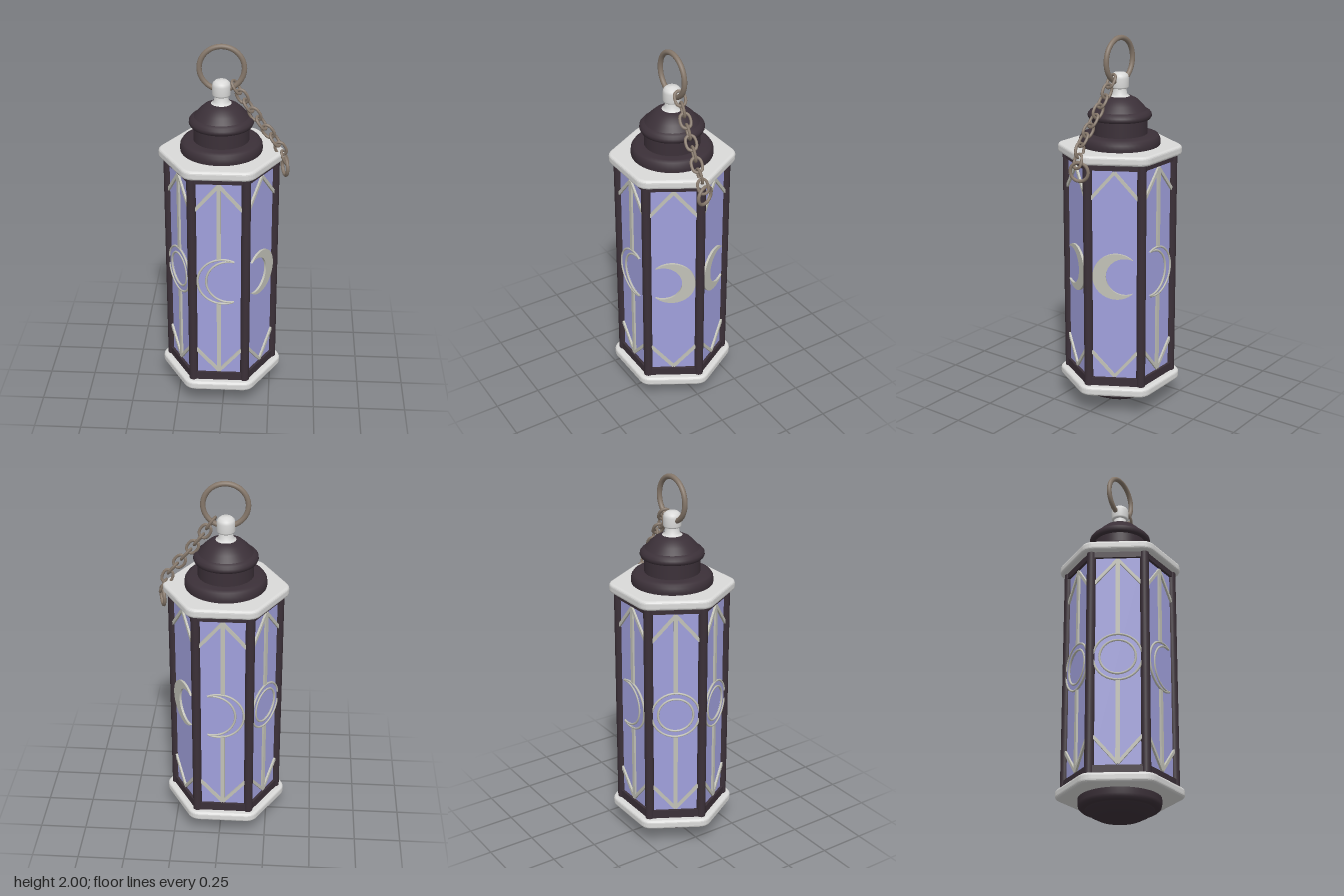
import * as THREE from 'three';

const mat = (name, color, side = THREE.FrontSide) => {
  const m = new THREE.MeshStandardMaterial({ color, side });
  m.name = name;
  return m;
};

export function createModel() {
  const dark = mat('dark plum metal', 0x3b3038);
  const white = mat('pale trim', 0xdadad9);
  const silver = mat('silver tracery', 0xc2c2b8);
  const glass = mat('lilac glass', 0xa0a0dc);
  const bronze = mat('bronze chain', 0x85776a);

  const model = new THREE.Group();
  model.name = 'lantern';
  const lantern = new THREE.Group();
  lantern.name = 'lanternBody';
  lantern.position.x = -0.02;
  model.add(lantern);

  const add = (parent, name, geo, material, x = 0, y = 0, z = 0) => {
    const m = new THREE.Mesh(geo, material);
    m.name = name;
    m.position.set(x, y, z);
    parent.add(m);
    return m;
  };
  // Lathe from runs of [radius, y]; each run is shaded smoothly on its own
  const lathe = (name, runs, material) => runs.forEach((run) =>
    add(lantern, name, new THREE.LatheGeometry(run.map(([r, y]) => new THREE.Vector2(r, y)), 48), material));

  // Hexagonal plates with rounded corners and edges
  const hexPlate = (R, round) => {
    const s = new THREE.Shape();
    const v = (k) => new THREE.Vector2(Math.cos(k * Math.PI / 3), Math.sin(k * Math.PI / 3)).multiplyScalar(R);
    for (let k = 0; k < 6; k++) {
      const p = v(k), a = p.clone().lerp(v(k - 1), round), b = p.clone().lerp(v(k + 1), round);
      if (k) s.lineTo(a.x, a.y); else s.moveTo(a.x, a.y);
      s.quadraticCurveTo(p.x, p.y, b.x, b.y);
    }
    s.closePath();
    const g = new THREE.ExtrudeGeometry(s, {
      depth: 0.02, bevelEnabled: true, bevelSize: 0.015, bevelThickness: 0.015, bevelSegments: 4, curveSegments: 6,
    });
    return g.rotateX(-Math.PI / 2);
  };
  add(lantern, 'topPlate', hexPlate(0.318, 0.11), white, 0, 1.402, 0);
  add(lantern, 'bottomPlate', hexPlate(0.318, 0.11), white, 0, 0.135, 0);

  // Stepped roof, rounded foot and finial
  lathe('roof', [
    [[0.21, 1.43], [0.213, 1.45], [0.21, 1.472], [0.2, 1.487], [0.18, 1.493], [0.144, 1.495]],
    [[0.144, 1.49], [0.143, 1.575]],
    [[0.143, 1.572], [0.16, 1.575], [0.166, 1.587], [0.165, 1.6], [0.155, 1.612], [0.14, 1.62]],
    [[0.14, 1.62], [0.115, 1.65], [0.09, 1.673], [0.06, 1.688], [0, 1.692]],
  ], dark);
  lathe('foot', [
    [[0, 0.003], [0.06, 0.007], [0.11, 0.02], [0.15, 0.04], [0.175, 0.064]],
    [[0.175, 0.064], [0.195, 0.064], [0.207, 0.074], [0.211, 0.09], [0.211, 0.13]],
  ], dark);
  lathe('finial', [
    [[0.062, 1.682], [0.05, 1.69], [0.038, 1.7], [0.034, 1.728]],
    [[0.034, 1.728], [0.043, 1.73], [0.047, 1.738], [0.047, 1.782], [0.043, 1.797], [0.03, 1.809], [0, 1.813]],
  ], white);

  // Moon ornaments, drawn opening towards +x
  const relief = (shape, depth) => new THREE.ExtrudeGeometry(shape, { depth, bevelEnabled: false, curveSegments: 32 });
  const tips = (R, r, d) => {
    const x = (d * d + R * R - r * r) / (2 * d);
    return [Math.acos(x / R), Math.acos((x - d) / r)];
  };
  const crescent = (R, r, d, c) => {
    const [a, b] = tips(R, r, d);
    const s = new THREE.Shape();
    s.absarc(c, 0, R, a, 2 * Math.PI - a, false);
    s.absarc(c + d, 0, r, 2 * Math.PI - b, b, true);
    return s;
  };
  const wire = (parent, r, x, a = 0) => {
    const m = add(parent, 'moonOutline', new THREE.TorusGeometry(r, 0.006, 6, 40, 2 * Math.PI - 2 * a), silver, x, 0, 0.008);
    m.rotation.z = a;
  };
  const moons = {
    solid: (g) => add(g, 'solidCrescent', relief(crescent(0.125, 0.1, 0.045, 0.01), 0.012), silver),
    open: (g) => {
      const [R, r, d, c] = [0.133, 0.122, 0.034, 0.022];
      const [a, b] = tips(R, r, d);
      add(g, 'openCrescent', relief(crescent(R, r, d, c), 0.008), glass);
      wire(g, R, c, a);
      wire(g, r, c + d, b);
    },
    full: (g) => {
      const s = new THREE.Shape().absarc(0, 0, 0.125, 0, 2 * Math.PI, false);
      s.holes.push(new THREE.Path().absarc(0, 0, 0.092, 0, 2 * Math.PI, true));
      add(g, 'fullMoon', relief(s, 0.008), glass);
      wire(g, 0.125, 0);
      wire(g, 0.092, 0);
    },
  };

  // Six framed glass sides
  const frame = new THREE.Shape();
  frame.moveTo(-0.147, 0.15).lineTo(0.147, 0.15).lineTo(0.147, 1.4).lineTo(-0.147, 1.4).closePath();
  const hole = new THREE.Path();
  hole.moveTo(-0.126, 0.215).lineTo(-0.126, 1.355).lineTo(0.126, 1.355).lineTo(0.126, 0.215).closePath();
  frame.holes.push(hole);
  const frameGeo = relief(frame, 0.03);
  const bar = (parent, name, x0, y0, x1, y1, w) => {
    const len = Math.hypot(x1 - x0, y1 - y0);
    const m = add(parent, name, new THREE.BoxGeometry(w, len, 0.012), silver, (x0 + x1) / 2, (y0 + y1) / 2, 0.247);
    m.rotation.z = Math.atan2(x0 - x1, y1 - y0);
  };
  const sides = [['open', 0], ['solid', Math.PI], ['solid', 0], ['open', Math.PI], ['full', 0], ['full', 0]];
  sides.forEach(([kind, turn], k) => {
    const side = new THREE.Group();
    side.name = 'side' + (k + 1);
    side.rotation.y = k * Math.PI / 3;
    lantern.add(side);
    add(side, 'frame', frameGeo, dark, 0, 0, 0.226);
    add(side, 'glassPane', new THREE.BoxGeometry(0.262, 1.15, 0.01), glass, 0, 0.785, 0.237);
    for (const s of [-1, 1]) {
      bar(side, 'upperDiagonal', 0, 1.345, s * 0.122, 1.205, 0.016);
      bar(side, 'lowerDiagonal', 0, 0.225, s * 0.122, 0.365, 0.016);
    }
    if (kind !== 'solid') {
      bar(side, 'upperMullion', 0, 0.915, 0, 1.345, 0.022);
      bar(side, 'lowerMullion', 0, 0.225, 0, 0.665, 0.022);
    }
    const moon = new THREE.Group();
    moon.name = 'moon';
    moon.position.set(0, 0.788, 0.242);
    moon.rotation.z = turn;
    side.add(moon);
    moons[kind](moon);
    // Corner post
    const post = add(side, 'cornerPost', new THREE.CylinderGeometry(0.024, 0.024, 1.25, 12), dark, 0.1385, 0.775, 0.24);
    post.rotation.y = Math.PI / 6;
  });

  // Hanging ring
  add(model, 'hangingRing', new THREE.TorusGeometry(0.113, 0.0135, 12, 48), bronze, -0.018, 1.8735, 0);

  // Chain of alternating links along a sagging path
  const path = new THREE.CatmullRomCurve3([
    [0.055, 1.775, 0], [0.11, 1.69, 0.006], [0.2, 1.57, 0.018], [0.27, 1.482, 0.028], [0.305, 1.405, 0.022],
  ].map((p) => new THREE.Vector3(...p)));
  const linkGeo = new THREE.TorusGeometry(0.027, 0.0075, 8, 20);
  const lp = linkGeo.attributes.position;
  for (let i = 0; i < lp.count; i++) {
    lp.setX(i, lp.getX(i) + Math.tanh(lp.getX(i) * 80) * 0.011);
  }
  linkGeo.computeVertexNormals();
  const count = 9;
  for (let i = 0; i < count; i++) {
    const u = i / (count - 1);
    const p = path.getPointAt(u);
    const link = add(model, 'chainLink', linkGeo, bronze, p.x, p.y, p.z);
    link.quaternion.setFromUnitVectors(new THREE.Vector3(1, 0, 0), path.getTangentAt(u));
    link.rotateX(i % 2 ? 0.25 : Math.PI / 2 + 0.25);
  }
  const endRing = add(model, 'endRing', new THREE.TorusGeometry(0.048, 0.009, 10, 32), bronze, 0.308, 1.352, 0.012);
  endRing.rotation.y = Math.PI / 2 + 0.3;

  return model;
}
